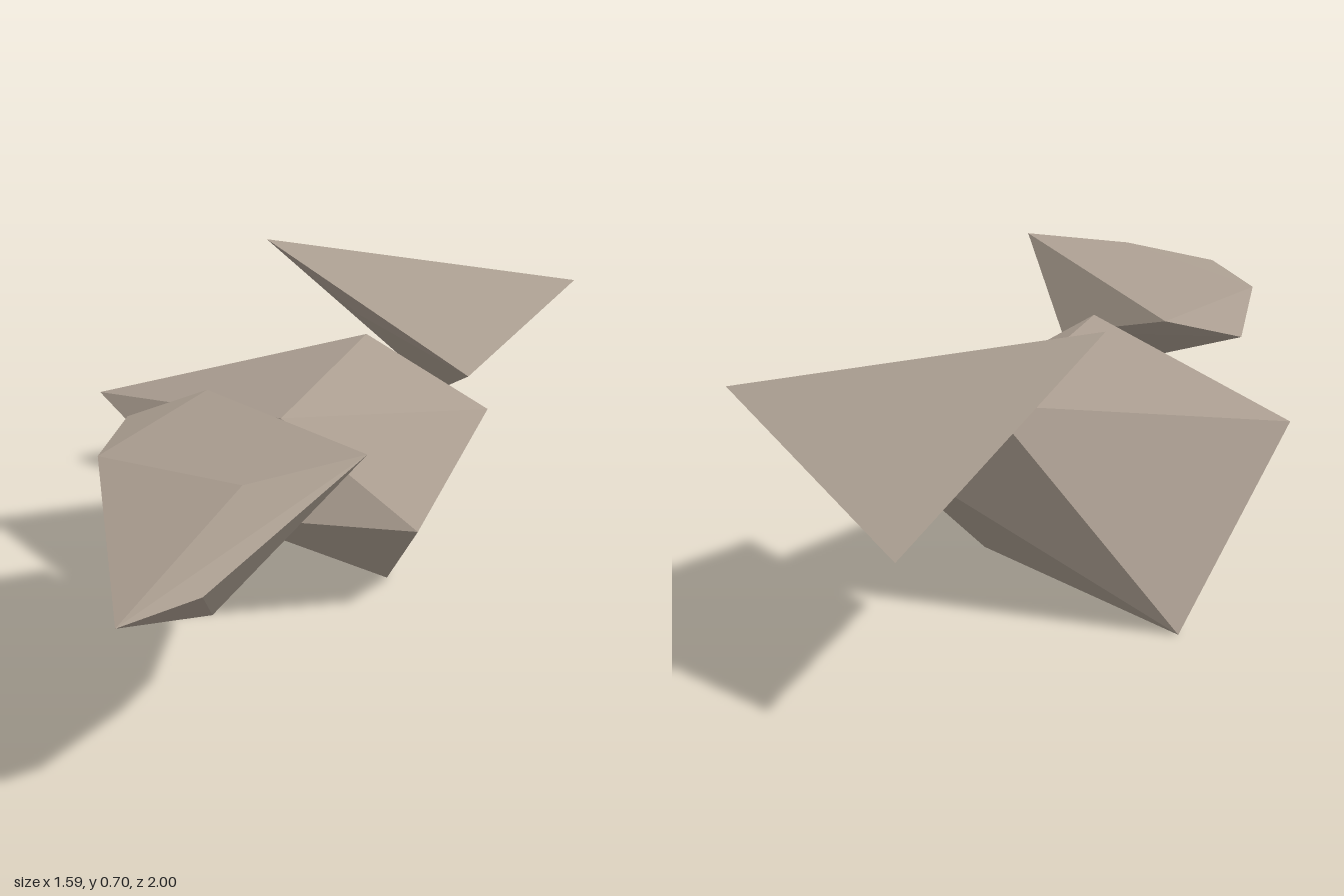
import * as THREE from 'three';
import { ConvexGeometry } from 'three/addons/geometries/ConvexGeometry.js';

// Corner points [x, y, z] of each faceted rock
const ROCKS = {
  backRock: [
    [-0.6, 0.7, -0.32], [-0.15, 0.58, -1], [-0.8, 0.36, -0.96], [0.1, 0.49, -0.44],
    [-0.34, 0.28, -0.7], [-0.34, 0.54, -0.43], [-0.5, 0.44, -0.96],
  ],
  middleRock: [
    [0.14, 0.31, 0.33], [0.29, 0.21, -0.14], [0.08, 0, -0.21], [-0.67, 0, -0.17],
    [-0.55, 0.4, 0.23], [0.15, 0.52, 0.16], [-0.32, 0.49, -0.44], [0.01, 0.35, -0.58],
  ],
  frontRock: [
    [0.67, 0.62, 0.3], [0.31, 0.44, 0.17], [-0.07, 0.54, 0.22], [-0.14, 0.49, 0.4],
    [0.14, 0.53, 0.65], [0.78, 0.44, 1], [0.79, 0.46, 0.8], [0.58, 0.58, 0.56],
    [0.52, 0.27, 0.6],
  ],
};

export function createModel() {
  const group = new THREE.Group();
  group.name = 'rocks';

  const stone = new THREE.MeshStandardMaterial({ color: 0xaa9d90 });
  stone.name = 'stone';
  stone.flatShading = true;

  // Each rock is the convex shell around its corners
  for (const [name, corners] of Object.entries(ROCKS)) {
    const points = corners.map((c) => new THREE.Vector3(...c));
    const rock = new THREE.Mesh(new ConvexGeometry(points), stone);
    rock.name = name;
    group.add(rock);
  }
  return group;
}
